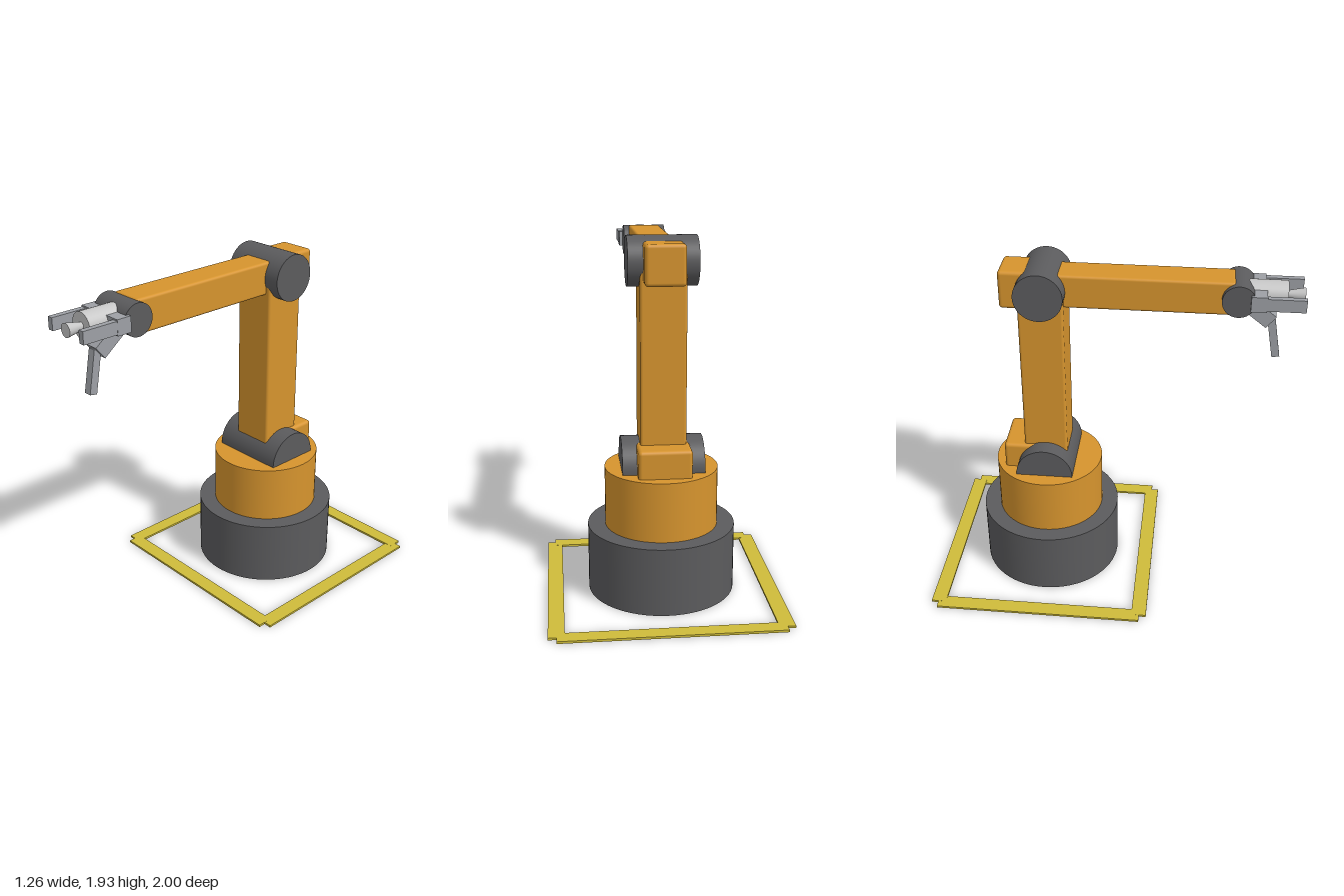
import * as THREE from 'three';
import { RoundedBoxGeometry } from 'three/addons/geometries/RoundedBoxGeometry.js';

function material(name, color) {
  const m = new THREE.MeshStandardMaterial({ color });
  m.name = name;
  return m;
}

export function createModel() {
  const orange = material('orange paint', 0xd6942e);
  const dark = material('dark grey', 0x5b5b5d);
  const steel = material('gripper grey', 0x9da0a5);
  const light = material('light grey', 0xc6c6c6);
  const yellow = material('floor yellow', 0xcebb3a);

  const robot = new THREE.Group();
  robot.name = 'robotArm';
  const AXIS_Z = -0.367; // turning axis of the base, shoulder and elbow

  function add(name, geometry, mat, x, y, z) {
    const mesh = new THREE.Mesh(geometry, mat);
    mesh.name = name;
    mesh.position.set(x, y, z);
    robot.add(mesh);
    return mesh;
  }
  // Box from its ranges on each axis, with rounded edges when r > 0
  function box(name, mat, [x0, x1], [y0, y1], [z0, z1], r = 0) {
    const size = [x1 - x0, y1 - y0, z1 - z0];
    const geometry = r ? new RoundedBoxGeometry(...size, 3, r) : new THREE.BoxGeometry(...size);
    return add(name, geometry, mat, (x0 + x1) / 2, (y0 + y1) / 2, (z0 + z1) / 2);
  }
  function drum(name, mat, r, y0, y1) {
    return add(name, new THREE.CylinderGeometry(r, r, y1 - y0, 64), mat, 0, (y0 + y1) / 2, AXIS_Z);
  }
  function joint(name, r, halfWidth, y, z) {
    const geometry = new THREE.CylinderGeometry(r, r, halfWidth * 2, 48).rotateZ(Math.PI / 2);
    return add(name, geometry, dark, 0, y, z);
  }
  // Round part pointing forward, from z0 to z1
  function spindle(name, mat, rBack, rFront, z0, z1) {
    const geometry = new THREE.CylinderGeometry(rFront, rBack, z1 - z0, 32).rotateX(Math.PI / 2);
    return add(name, geometry, mat, 0, 1.8, (z0 + z1) / 2);
  }
  // Bar in the centre plane between two (z, y) points
  function bar(name, mat, width, thickness, [z0, y0], [z1, y1]) {
    const dz = z1 - z0, dy = y1 - y0;
    const geometry = new THREE.BoxGeometry(width, thickness, Math.hypot(dz, dy));
    const mesh = add(name, geometry, mat, 0, (y0 + y1) / 2, (z0 + z1) / 2);
    mesh.rotation.x = -Math.atan2(dy, dz);
    return mesh;
  }

  // Floor marking
  for (const s of [-1, 1]) {
    box('floorStripeSide', yellow, s < 0 ? [-0.628, -0.543] : [0.543, 0.628], [0, 0.012], [-0.96, 0.212]);
  }
  box('floorStripeBack', yellow, [-0.585, 0.585], [0, 0.0125], [-1, -0.916]);
  box('floorStripeFront', yellow, [-0.585, 0.585], [0, 0.0125], [0.168, 0.252]);

  // Base and turret
  drum('base', dark, 0.4, 0, 0.37);
  drum('turret', orange, 0.306, 0.37, 0.695);

  // Shoulder and upper arm
  joint('shoulderJoint', 0.16, 0.219, 0.7, AXIS_Z);
  box('shoulderMotor', orange, [-0.142, 0.142], [0.6, 0.845], [-0.605, -0.367], 0.02);
  box('upperArm', orange, [-0.122, 0.122], [0.7, 1.8], [-0.489, -0.245], 0.015);

  // Elbow and forearm
  joint('elbowJoint', 0.131, 0.183, 1.798, AXIS_Z);
  box('elbowMotor', orange, [-0.105, 0.105], [1.692, 1.904], [-0.588, -0.36], 0.02);
  box('forearm', orange, [-0.092, 0.092], [1.706, 1.89], [-0.367, 0.64], 0.015);

  // Wrist and tool head
  joint('wristJoint', 0.087, 0.123, 1.8, 0.66);
  spindle('toolHub', light, 0.071, 0.071, 0.66, 0.91);
  spindle('toolNozzle', light, 0.018, 0.037, 0.9, 1);

  // Two side fingers
  for (const s of [-1, 1]) {
    const range = (a, b) => (s < 0 ? [-b, -a] : [a, b]);
    box('sideKnuckle', steel, range(0.05, 0.143), [1.758, 1.842], [0.72, 0.802]);
    box('sideFinger', steel, range(0.109, 0.142), [1.766, 1.834], [0.78, 1]);
  }

  // Lower finger, hanging open
  bar('lowerKnuckle', steel, 0.085, 0.083, [0.7, 1.758], [0.837, 1.651]);
  bar('lowerFinger', steel, 0.044, 0.042, [0.838, 1.665], [0.879, 1.437]);

  return robot;
}
